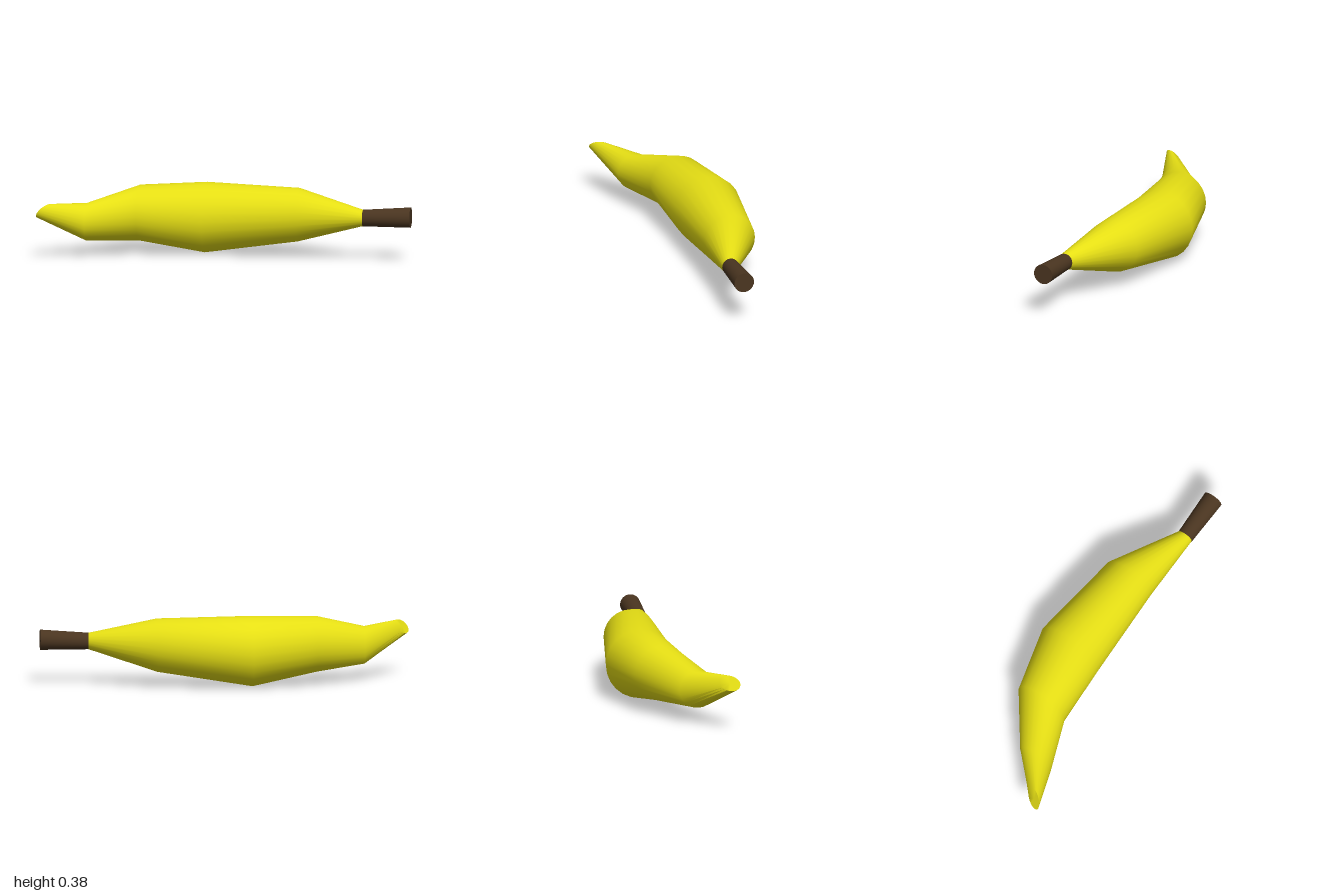
import * as THREE from 'three';
import { toCreasedNormals } from 'three/addons/utils/BufferGeometryUtils.js';

const SIDES = 24;

// Skins a run of rings ordered from +x to -x and closes both ends.
// Each ring: centre, offset to its top point, offset to its front point.
function loft(rings) {
  const pos = [], index = [];
  for (const { c, up, front } of rings) {
    for (let j = 0; j < SIDES; j++) {
      const a = (j / SIDES) * Math.PI * 2;
      for (let k = 0; k < 3; k++) pos.push(c[k] + up[k] * Math.cos(a) + front[k] * Math.sin(a));
    }
  }
  const last = (rings.length - 1) * SIDES;
  const capA = rings.length * SIDES, capB = capA + 1;
  pos.push(...rings[0].c, ...rings[rings.length - 1].c);
  for (let j = 0; j < SIDES; j++) {
    const n = (j + 1) % SIDES;
    for (let i = 0; i < last; i += SIDES) {
      index.push(i + j, i + SIDES + j, i + n, i + n, i + SIDES + j, i + SIDES + n);
    }
    index.push(capA, j, n, capB, last + n, last + j);
  }
  const geo = new THREE.BufferGeometry();
  geo.setAttribute('position', new THREE.Float32BufferAttribute(pos, 3));
  geo.setIndex(index);
  return toCreasedNormals(geo, 0.9);
}

// Upright ring facing along x
const ring = (x, y, z, ry, rz = ry) => ({ c: [x, y, z], up: [0, ry, 0], front: [0, 0, rz] });

function part(name, color, rings) {
  const mesh = new THREE.Mesh(loft(rings), new THREE.MeshStandardMaterial({ color }));
  mesh.name = name;
  return mesh;
}

export function createModel() {
  const group = new THREE.Group();
  group.name = 'banana';

  // Curved peel, fattest in the middle, ending in a small slanted tip
  group.add(part('peel', 0xe6df14, [
    ring(0.745, 0.235, 0.034, 0.043),
    ring(0.375, 0.225, -0.074, 0.145),
    ring(-0.135, 0.193, -0.107, 0.191, 0.188),
    ring(-0.488, 0.22, -0.047, 0.151, 0.152),
    ring(-0.755, 0.189, 0.102, 0.102),
    { c: [-0.967, 0.267, 0.239], up: [0.022, 0.037, 0.005], front: [-0.032, -0.004, 0.052] },
  ]));

  // Stem, flaring slightly towards its flat end
  group.add(part('stem', 0x4a3520, [
    ring(1, 0.244, 0.035, 0.055),
    ring(0.74, 0.235, 0.034, 0.045),
  ]));

  return group;
}
